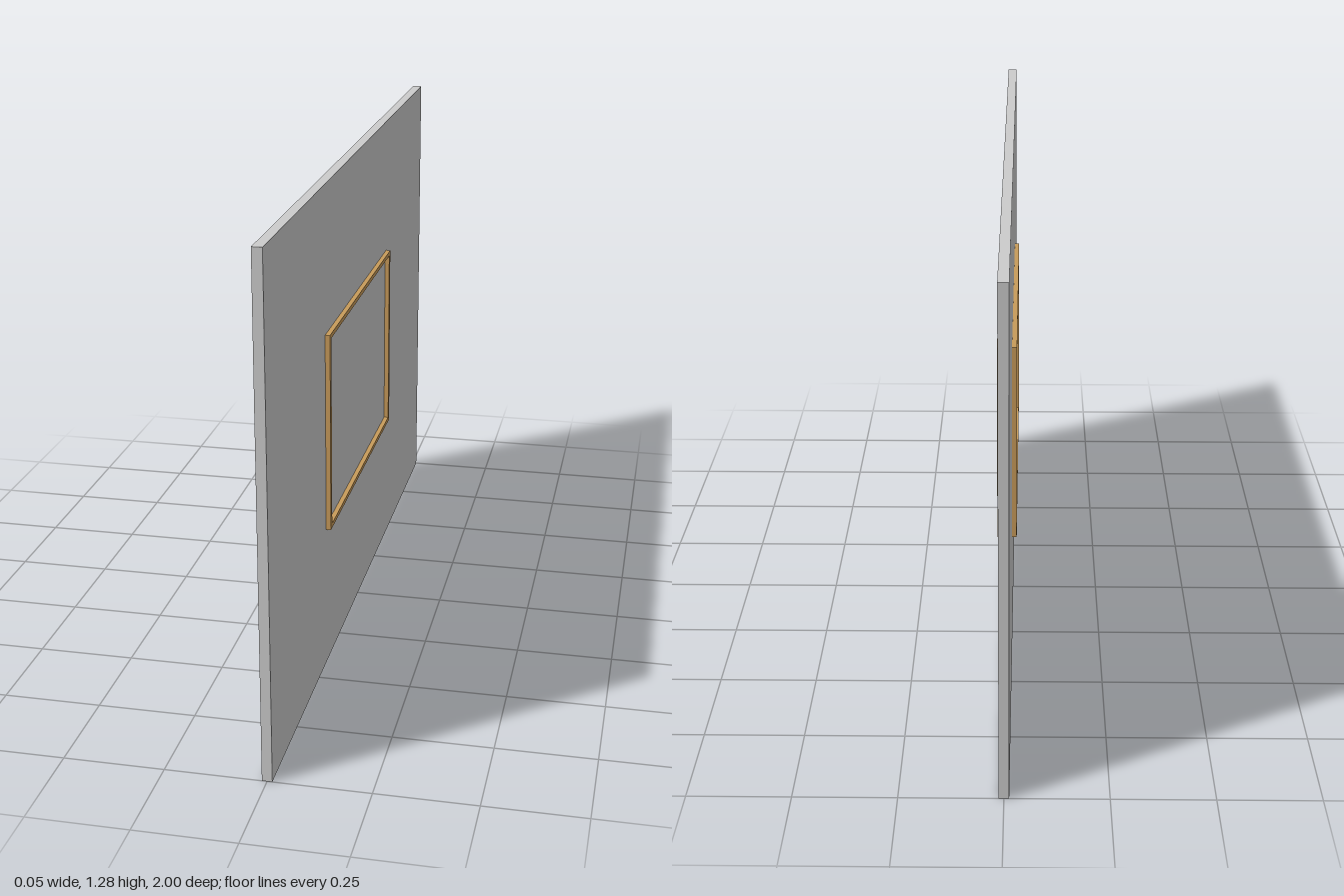
import * as THREE from 'three';

export function createModel() {
  const model = new THREE.Group();
  const grey = new THREE.MeshStandardMaterial({ color: 0xcccccc });
  const wood = new THREE.MeshStandardMaterial({ color: 0xc89b5a });

  const box = (parent, name, size, pos, material) => {
    const mesh = new THREE.Mesh(new THREE.BoxGeometry(...size), material);
    mesh.name = name;
    mesh.position.set(...pos);
    parent.add(mesh);
  };

  // Upright wall panel
  const height = 1.285;
  box(model, 'wall', [0.025, height, 2], [0, height / 2, 0], grey);

  // Wooden frame standing proud of both faces of the wall
  const frame = new THREE.Group();
  frame.name = 'windowFrame';
  frame.position.y = 0.643;
  model.add(frame);
  const depth = 0.05, w = 0.82, h = 0.526, post = 0.016, rail = 0.012;
  for (const s of [-1, 1]) {
    box(frame, s > 0 ? 'frontPost' : 'backPost', [depth, h, post], [0, 0, s * (w - post) / 2], wood);
    box(frame, s > 0 ? 'topRail' : 'bottomRail', [depth, rail, w - 2 * post], [0, s * (h - rail) / 2, 0], wood);
  }
  return model;
}
